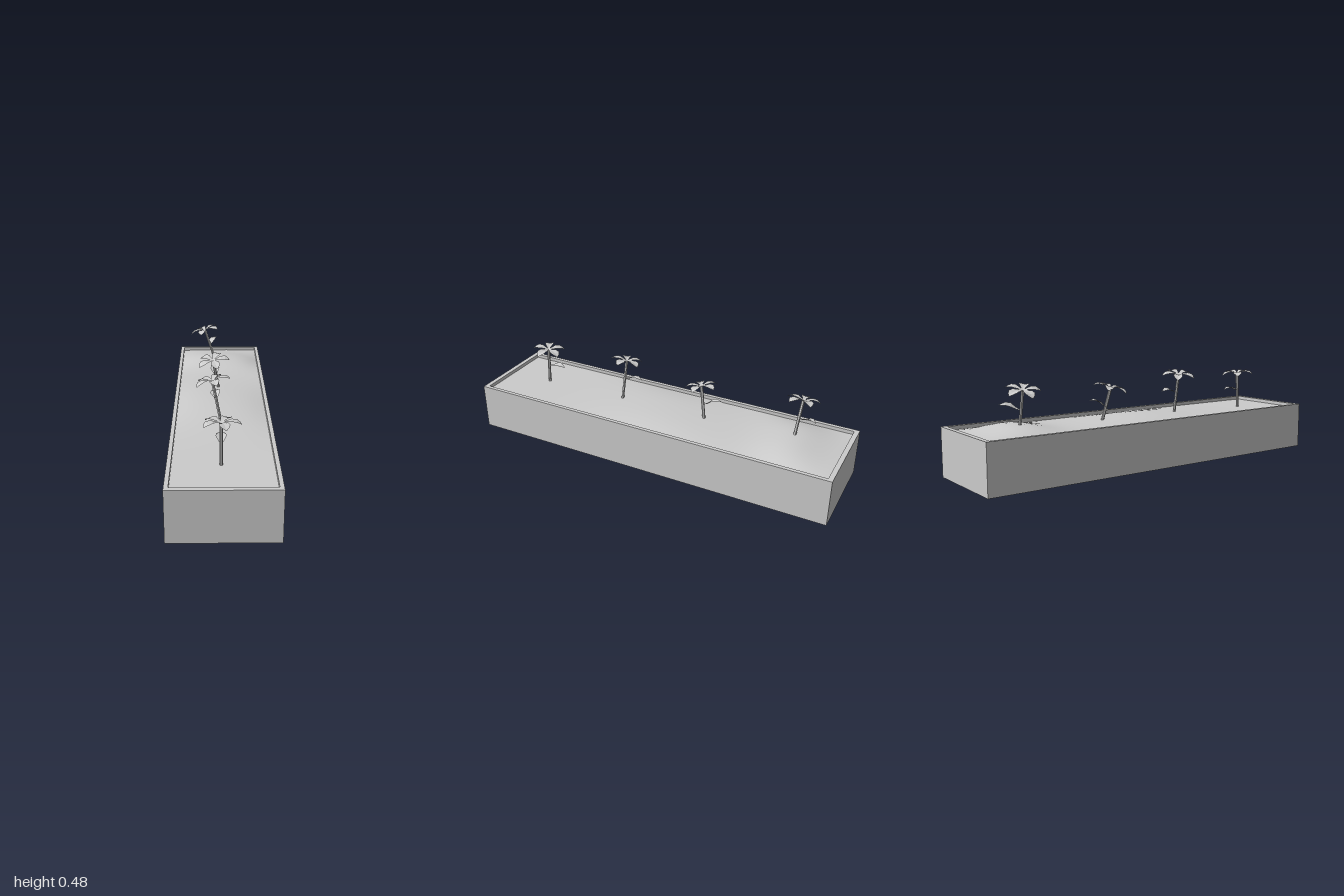
import * as THREE from 'three';

const flat = () => new THREE.MeshStandardMaterial({ color: 0xcccccc, flatShading: true, side: THREE.DoubleSide });

function add(parent, name, geometry, material = flat()) {
  const mesh = new THREE.Mesh(geometry, material);
  mesh.name = name;
  parent.add(mesh);
  return mesh;
}

// Thin blade along +x from [distance, half width, height] sections; edges are lifted by fold
function bladeGeometry(sections, fold) {
  const pos = [], index = [];
  sections.forEach(([d, w, h], i) => {
    pos.push(d, h + fold * w, -w, d, h, 0, d, h + fold * w, w);
    if (i === 0) return;
    for (let j = 0; j < 2; j++) {
      const a = (i - 1) * 3 + j, b = a + 3;
      index.push(a, a + 1, b, a + 1, b + 1, b);
    }
  });
  const g = new THREE.BufferGeometry();
  g.setAttribute('position', new THREE.Float32BufferAttribute(pos, 3));
  g.setIndex(index);
  g.computeVertexNormals();
  return g;
}

// Soil height: low crown in the middle, taller mound near the back
function soilHeight(x, z) {
  const across = 1 - Math.pow(Math.abs(x) / 0.23, 2.5);
  return 0.231 + across * (0.022 * Math.exp(-((z / 0.35) ** 2)) + 0.04 * Math.exp(-(((z + 0.73) / 0.16) ** 2)));
}

function createSoil() {
  const g = new THREE.PlaneGeometry(0.462, 1.952, 10, 44).rotateX(-Math.PI / 2);
  const p = g.attributes.position;
  for (let i = 0; i < p.count; i++) p.setY(i, soilHeight(p.getX(i), p.getZ(i)));
  g.computeVertexNormals();
  return g;
}

function rectangle(path, w, d) {
  path.moveTo(-w, -d);
  path.lineTo(w, -d);
  path.lineTo(w, d);
  path.lineTo(-w, d);
  path.closePath();
  return path;
}

const petalGeometry = bladeGeometry([
  [0, 0.004, 0], [0.02, 0.011, 0.006], [0.045, 0.022, 0.01],
  [0.068, 0.024, 0.007], [0.083, 0.014, 0], [0.09, 0.003, -0.006],
], 0.15);

const leafGeometry = bladeGeometry([
  [0, 0.003, 0], [0.025, 0.013, 0.006], [0.05, 0.025, 0.018],
  [0.075, 0.021, 0.023], [0.108, 0.001, 0.018],
], 0.25);

// Flower: stem from base to head, five petals and one leaf facing along the normal
function createFlower({ base, head, normal, yaw = 0 }) {
  const flower = new THREE.Group();
  flower.name = 'flower';
  const from = new THREE.Vector3(...base), to = new THREE.Vector3(...head);
  const foot = from.clone().lerp(to, -0.08);
  add(flower, 'stem', new THREE.TubeGeometry(new THREE.LineCurve3(foot, to), 2, 0.008, 6));

  const top = new THREE.Group();
  top.name = 'bloom';
  top.position.copy(to);
  top.quaternion.setFromUnitVectors(new THREE.Vector3(0, 1, 0), new THREE.Vector3(...normal).normalize())
    .multiply(new THREE.Quaternion().setFromAxisAngle(new THREE.Vector3(0, 1, 0), -yaw));
  for (let i = 0; i < 5; i++) {
    add(top, 'petal', petalGeometry).rotation.y = -(0.09 + i * Math.PI * 0.4);
  }
  const leaf = add(top, 'leaf', leafGeometry);
  leaf.position.y = -0.1;
  leaf.rotation.y = Math.PI / 2;
  flower.add(top);
  return flower;
}

export function createModel() {
  const model = new THREE.Group();
  model.name = 'flowerPlanter';

  // Planter walls with an open centre, closed by a floor
  const outline = rectangle(new THREE.Shape(), 0.25, 1);
  outline.holes.push(rectangle(new THREE.Path(), 0.23, 0.975));
  const walls = new THREE.ExtrudeGeometry(outline, { depth: 0.25, bevelEnabled: false }).rotateX(-Math.PI / 2);
  add(model, 'planterWalls', walls);
  add(model, 'planterFloor', new THREE.BoxGeometry(0.46, 0.02, 1.95).translate(0, 0.01, 0));

  const soilMaterial = flat();
  soilMaterial.flatShading = false;
  add(model, 'soil', createSoil(), soilMaterial);

  // Row of flowers, front to back
  [
    { base: [-0.008, 0.232, 0.73], head: [-0.008, 0.43, 0.722], normal: [0, 1, -0.08] },
    { base: [-0.006, 0.245, 0.245], head: [-0.047, 0.452, 0.238], normal: [-0.2, 1, -0.06] },
    { base: [-0.013, 0.246, -0.24], head: [-0.042, 0.41, -0.208], normal: [-0.15, 1, 0.2] },
    { base: [-0.036, 0.27, -0.725], head: [-0.09, 0.438, -0.735], normal: [-0.28, 1, -0.04], yaw: 0.49 },
  ].forEach((f) => model.add(createFlower(f)));

  return model;
}
